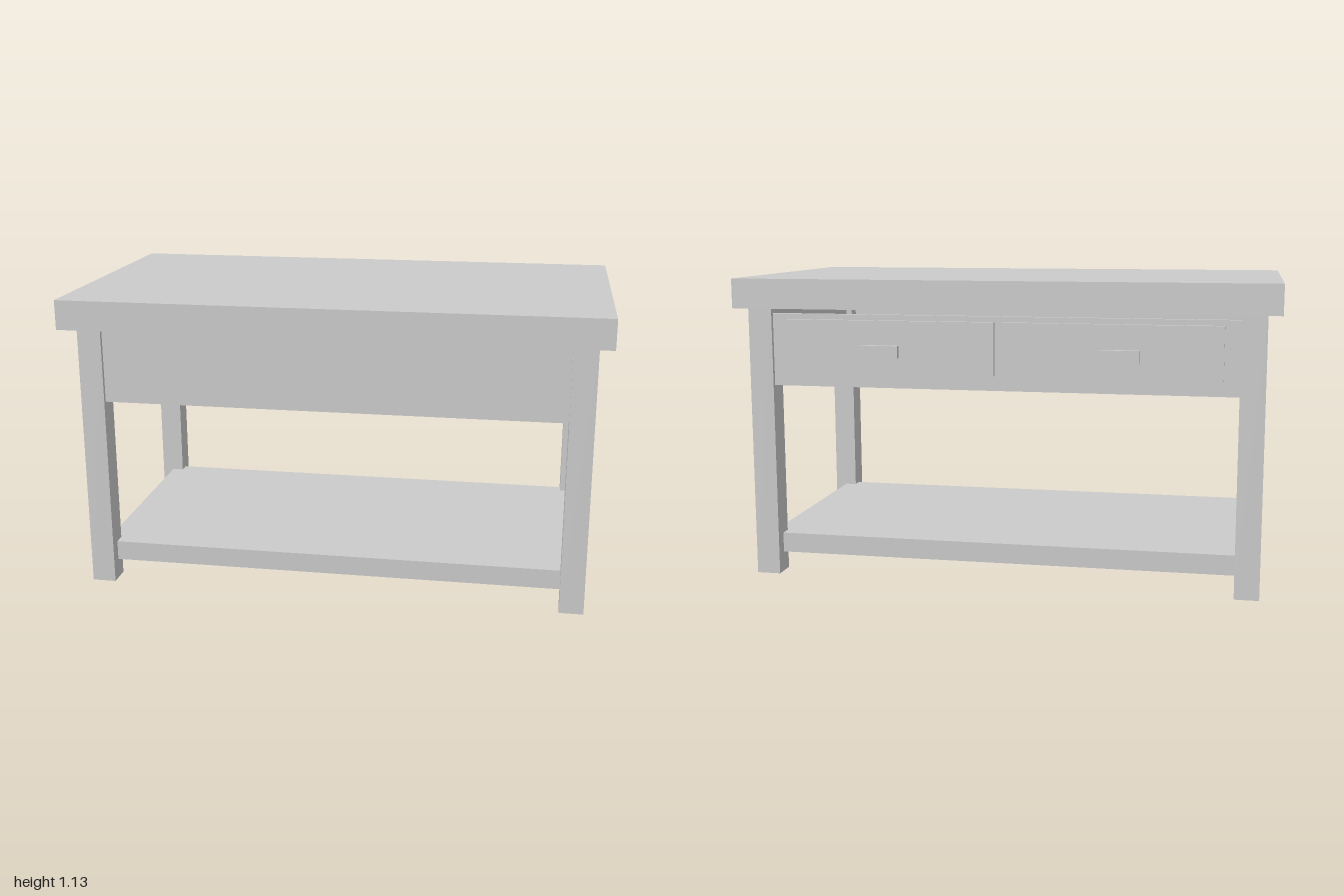
import * as THREE from 'three';

export function createModel() {
  const model = new THREE.Group();
  const material = new THREE.MeshStandardMaterial({ color: 0xcccccc, side: THREE.DoubleSide });

  // Box given by its min and max on each axis; openBottom drops the underside
  function box(name, [x0, x1], [y0, y1], [z0, z1], openBottom = false) {
    const geometry = new THREE.BoxGeometry(x1 - x0, y1 - y0, z1 - z0);
    if (openBottom) {
      const faces = Array.from(geometry.index.array);
      faces.splice(18, 6);
      geometry.setIndex(faces);
      geometry.clearGroups();
    }
    const mesh = new THREE.Mesh(geometry, material);
    mesh.name = name;
    mesh.position.set((x0 + x1) / 2, (y0 + y1) / 2, (z0 + z1) / 2);
    model.add(mesh);
  }

  // Thick table top
  box('tableTop', [-1, 1], [1.02, 1.13], [-0.55, 0.55]);

  // Four square legs, open underneath
  for (const [side, x] of [['Left', 0.905], ['Right', -0.905]]) {
    const across = [x - 0.045, x + 0.045];
    box('front' + side + 'Leg', across, [0, 1.02], [0.39, 0.48], true);
    box('back' + side + 'Leg', across, [0, 1.02], [-0.52, -0.43], true);
  }

  // Lower shelf, hollow underneath
  box('shelf', [-0.905, 0.905], [0.075, 0.15], [-0.475, 0.435], true);

  // Drawer case: floor, front apron, two sides and a slightly lower back rail
  box('caseFloor', [-0.885, 0.885], [0.73, 0.75], [-0.485, 0.445]);
  box('frontApron', [-0.885, 0.885], [0.73, 1.02], [0.445, 0.465]);
  box('leftSidePanel', [0.885, 0.905], [0.73, 1.02], [-0.475, 0.435]);
  box('rightSidePanel', [-0.905, -0.885], [0.73, 1.02], [-0.475, 0.435]);
  box('backPanel', [-0.885, 0.885], [0.73, 1.0], [-0.505, -0.485]);

  // Two drawers with block handles at the back
  for (const [side, s] of [['left', 1], ['right', -1]]) {
    const cx = s * 0.41 + 0.008;
    const hx = s * 0.44;
    box(side + 'DrawerFront', [cx - 0.402, cx + 0.402], [0.785, 0.98], [-0.523, -0.505]);
    box(side + 'DrawerHandle', [hx - 0.07, hx + 0.07], [0.845, 0.89], [-0.545, -0.523]);
  }

  return model;
}
